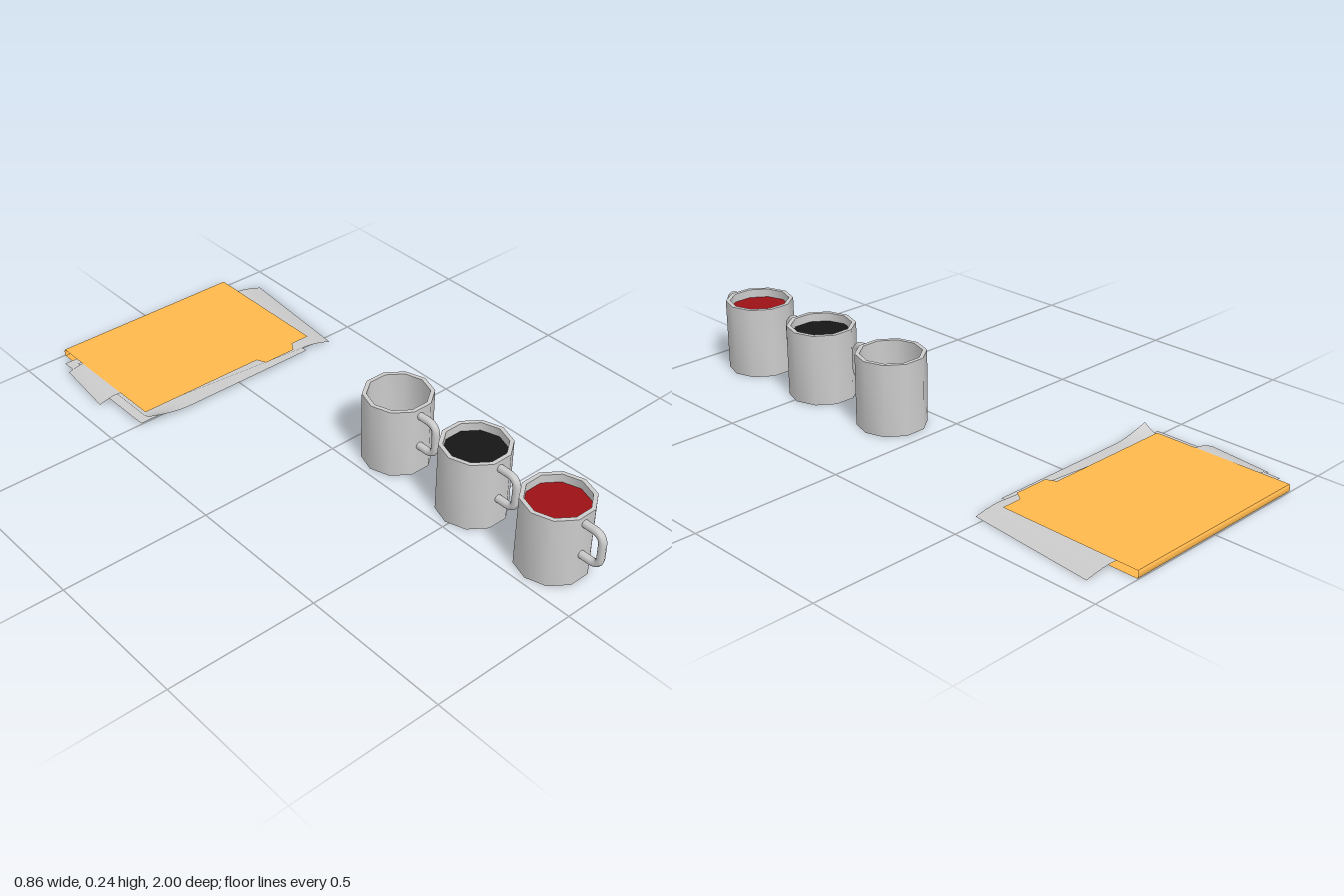
import * as THREE from 'three';
import { toCreasedNormals } from 'three/addons/utils/BufferGeometryUtils.js';

const V2 = (x, y) => new THREE.Vector2(x, y);
const V3 = (x, y, z) => new THREE.Vector3(x, y, z);
const grey = new THREE.MeshStandardMaterial({ color: 0xcccccc });
const paperMat = new THREE.MeshStandardMaterial({ color: 0xcccccc, side: THREE.DoubleSide });
const folderMat = new THREE.MeshStandardMaterial({ color: 0xffb84d, side: THREE.DoubleSide });

function mesh(name, geometry, material) {
  const m = new THREE.Mesh(geometry, material);
  m.name = name;
  return m;
}

// Ten-sided mug with wall thickness, a bent handle and an optional drink
function makeMug(name, z, drinkColor) {
  const R = 0.113, r = 0.099, H = 0.24;
  const mug = new THREE.Group();
  mug.name = name;
  mug.position.set(0.135, 0, z);

  const profile = [V2(0, 0), V2(R, 0), V2(R, H), V2(r, H), V2(r, 0.012), V2(0, 0.012)];
  const body = new THREE.LatheGeometry(profile, 10).rotateY(Math.PI / 2);
  mug.add(mesh('mugBody', toCreasedNormals(body, 0.8), grey));

  // Handle: straight runs joined by rounded corners
  const x = -0.009, top = 0.2135, low = 0.1015, out = 0.177, c = 0.035;
  const path = new THREE.CurvePath();
  path.add(new THREE.LineCurve3(V3(x, top, 0.102), V3(x, top, out - c)));
  path.add(new THREE.QuadraticBezierCurve3(V3(x, top, out - c), V3(x, top, out), V3(x, top - c, out)));
  path.add(new THREE.LineCurve3(V3(x, top - c, out), V3(x, low + c, out)));
  path.add(new THREE.QuadraticBezierCurve3(V3(x, low + c, out), V3(x, low, out), V3(x, low, out - c)));
  path.add(new THREE.LineCurve3(V3(x, low, out - c), V3(x, low, 0.102)));
  mug.add(mesh('mugHandle', new THREE.TubeGeometry(path, 28, 0.0125, 8), grey));

  if (drinkColor !== undefined) {
    const disc = new THREE.CircleGeometry(r, 10).rotateX(-Math.PI / 2);
    const drink = mesh('drink', disc, new THREE.MeshStandardMaterial({ color: drinkColor }));
    drink.position.y = 0.212;
    mug.add(drink);
  }
  return mug;
}

// Thin sheet bent by a height rule in its own x and z
function makePaper(name, w, d, [x, y, z], turn, height) {
  const g = new THREE.PlaneGeometry(w, d, 32, 24).rotateX(-Math.PI / 2);
  const p = g.attributes.position;
  for (let i = 0; i < p.count; i++) p.setY(i, height(p.getX(i), p.getZ(i)));
  g.computeVertexNormals();
  const sheet = mesh(name, g, paperMat);
  sheet.position.set(x, y, z);
  sheet.rotation.y = turn;
  return sheet;
}

// Folder cover lying flat; outline points are x, z pairs
function makeCover(name, outline, y) {
  const shape = new THREE.Shape(outline.map(([x, z]) => V2(x, -z)));
  const cover = mesh(name, new THREE.ShapeGeometry(shape).rotateX(-Math.PI / 2), folderMat);
  cover.position.y = y;
  return cover;
}

function makeFolder() {
  const folder = new THREE.Group();
  folder.name = 'folder';
  const L = -0.355, R = 0.33, back = -0.997, front = -0.517, top = 0.025;
  folder.add(makeCover('bottomCover', [[L, front], [R, front], [R, back], [L, back]], 0.0005));
  folder.add(makeCover('topCover', [[L, front], [0.105, front], [0.12, -0.485], [0.24, -0.485],
    [0.26, front], [R, front], [R, back], [L, back]], top));

  // Spine folded in three strips
  const fold = [[0.0005, back], [0.009, -1], [0.018, -1], [top, back]];
  const pos = [], index = [];
  fold.forEach(([y, z], i) => {
    pos.push(R, y, z, L, y, z);
    if (i) index.push(2 * i - 2, 2 * i - 1, 2 * i, 2 * i - 1, 2 * i + 1, 2 * i);
  });
  const spine = new THREE.BufferGeometry();
  spine.setAttribute('position', new THREE.Float32BufferAttribute(pos, 3));
  spine.setIndex(index);
  folder.add(mesh('spine', toCreasedNormals(spine, 0.2), folderMat));

  // Loose sheets sticking out of the open sides
  const drop = (t) => Math.max(0, t) ** 1.5;
  folder.add(makePaper('rightSheet', 0.6, 0.442, [0.111, 0.019, -0.717], -0.09,
    (x) => -0.0185 * drop((x - 0.21) / 0.09)));
  folder.add(makePaper('flatSheet', 0.64, 0.45, [-0.07, 0.011, -0.717], 0, () => 0));
  folder.add(makePaper('smallSheet', 0.3, 0.227, [-0.269, 0.0235, -0.766], -0.11,
    (x) => -0.017 * drop((-x - 0.09) / 0.06)));
  folder.add(makePaper('frontSheet', 0.64, 0.445, [-0.04, 0.015, -0.6865], 0,
    (x, z) => 0.027 * Math.max(0, 1 - (x + 0.32) / 0.14) ** 1.6
      * Math.max(0, 1 - (0.2225 - z) / 0.052) ** 1.5));
  return folder;
}

export function createModel() {
  const model = new THREE.Group();
  model.name = 'mugsAndFolder';
  model.add(makeMug('emptyMug', 0.1525));
  model.add(makeMug('blackDrinkMug', 0.487, 0x161616));
  model.add(makeMug('redDrinkMug', 0.8105, 0x9c1216));
  model.add(makeFolder());
  return model;
}
